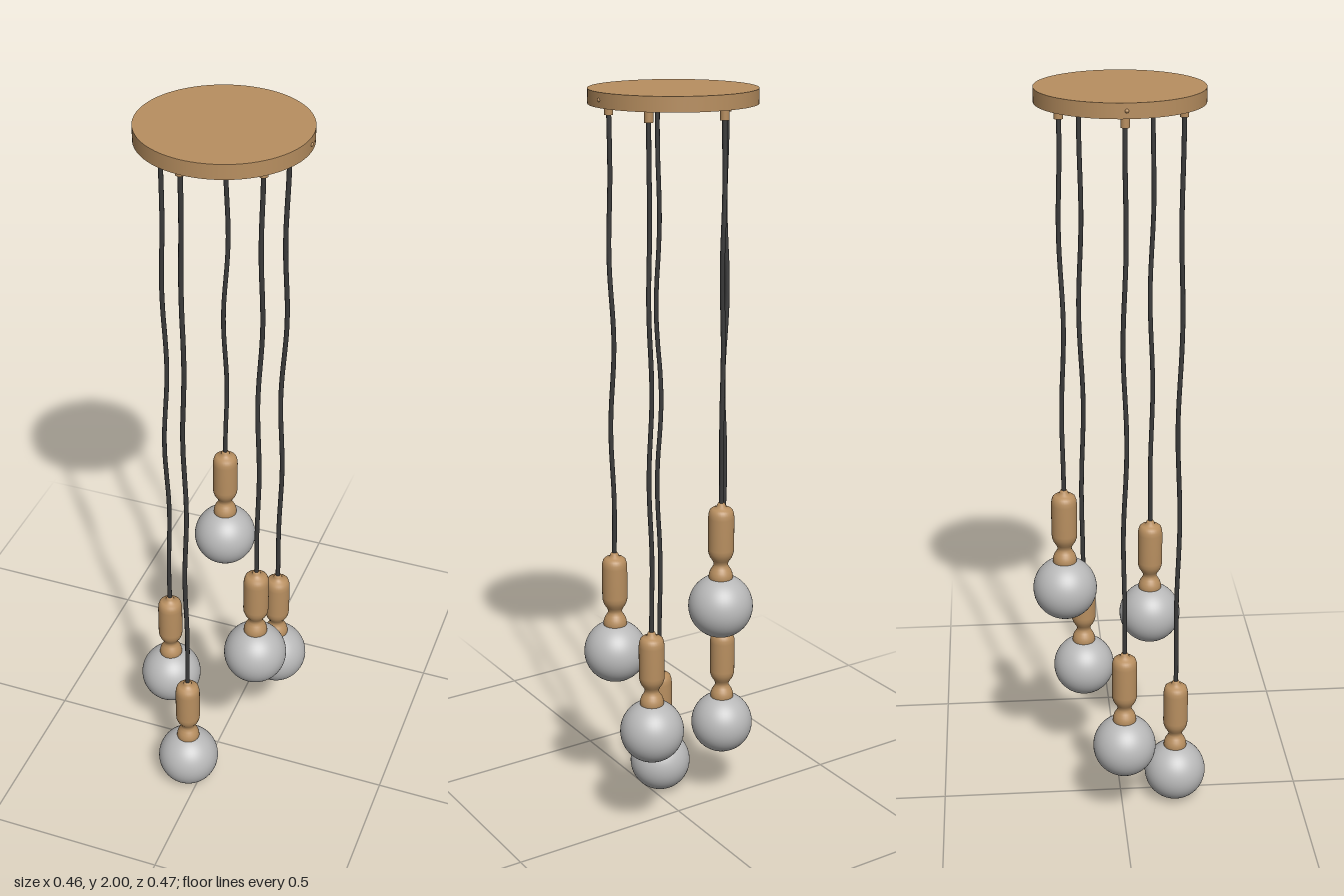
import * as THREE from 'three';

export function createModel() {
  const mat = (name, color) => {
    const m = new THREE.MeshStandardMaterial({ color });
    m.name = name;
    return m;
  };
  const wood = mat('wood', 0xb88f60);
  const glass = mat('grey globe', 0xb9b9b9);
  const black = mat('charcoal cable', 0x3a3a3a);

  const model = new THREE.Group();
  model.name = 'clusterPendantLamp';
  const add = (parent, name, geo, material, x = 0, y = 0, z = 0) => {
    const mesh = new THREE.Mesh(geo, material);
    mesh.name = name;
    mesh.position.set(x, y, z);
    parent.add(mesh);
    return mesh;
  };

  const CX = 0.015, CANOPY_R = 0.21, RING_R = 0.159, GLOBE_R = 0.085;
  const CANOPY_H = 0.037, CANOPY_BOTTOM = 2 - CANOPY_H;

  // Round ceiling plate with a small screw on either side
  add(model, 'canopy', new THREE.CylinderGeometry(CANOPY_R, CANOPY_R, CANOPY_H, 96), wood, CX, 2 - CANOPY_H / 2, 0);
  for (const s of [-1, 1]) {
    add(model, 'canopyScrew', new THREE.SphereGeometry(0.005, 16, 10), wood, CX + s * (CANOPY_R - 0.001), 2 - CANOPY_H / 2, 0);
  }

  // Turned socket profile, measured from the globe centre
  const profile = [
    [0, 0.286], [0.008, 0.286], [0.011, 0.281], [0.013, 0.274], [0.024, 0.271], [0.03, 0.266],
    [0.033, 0.256], [0.034, 0.245], [0.034, 0.16], [0.033, 0.149], [0.029, 0.138], [0.023, 0.129],
    [0.019, 0.121], [0.019, 0.114], [0.023, 0.107], [0.028, 0.099], [0.031, 0.09],
    [0.032, 0.081], [0.03, 0.073], [0, 0.07],
  ].reverse().map(([r, y]) => new THREE.Vector2(r, y));
  const socketGeo = new THREE.LatheGeometry(profile, 32);
  const globeGeo = new THREE.SphereGeometry(GLOBE_R, 48, 32);
  const gripGeo = new THREE.CylinderGeometry(0.011, 0.011, 0.03, 20);

  // Slightly wavy hanging cable, straight at both ends
  const cable = (bottom, phase) => {
    const top = CANOPY_BOTTOM, pts = [];
    for (let i = 0; i <= 20; i++) {
      const t = i / 20;
      const y = top + (bottom - top) * t;
      const a = 0.005 * Math.sin(Math.PI * t);
      pts.push(new THREE.Vector3(
        a * Math.sin(y * 13 + phase), y, a * Math.cos(y * 11 + phase * 1.7)));
    }
    return new THREE.TubeGeometry(new THREE.CatmullRomCurve3(pts), 80, 0.0062, 10, false);
  };

  // Five pendants: angle around the plate (from +x towards +z) and globe height
  const pendants = [[36, 0.497], [108, 0.088], [180, 0.245], [252, 0.677], [324, 0.336]];
  pendants.forEach(([deg, h], i) => {
    const a = THREE.MathUtils.degToRad(deg);
    const pendant = new THREE.Group();
    pendant.name = 'pendant' + (i + 1);
    pendant.position.set(CX + RING_R * Math.cos(a), 0, RING_R * Math.sin(a));
    add(pendant, 'cableGrip', gripGeo, wood, 0, CANOPY_BOTTOM - 0.015, 0);
    add(pendant, 'cable', cable(h + 0.28, i * 1.9), black);
    add(pendant, 'socket', socketGeo, wood, 0, h, 0);
    add(pendant, 'globe', globeGeo, glass, 0, h, 0);
    model.add(pendant);
  });

  return model;
}
